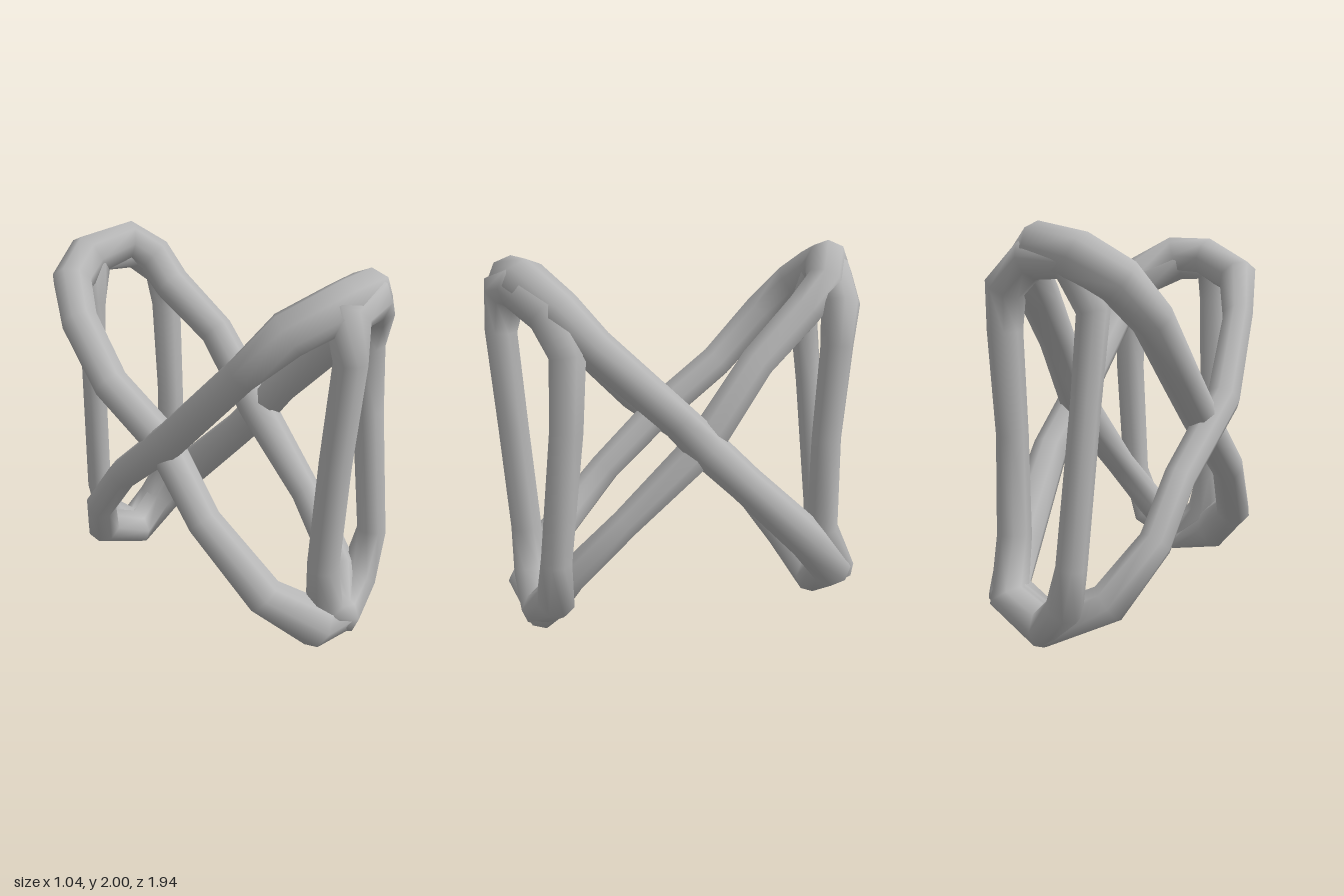
import * as THREE from 'three';

const SIDES = 8;
const BAR = 0.08;

// Sweeps a faceted bar round a closed loop of [x, y, z, radius] points.
function loopGeometry(path) {
  const n = path.length;
  const pts = path.map(([x, y, z]) => new THREE.Vector3(x, y, z));
  const centre = pts.reduce((c, p) => c.add(p), new THREE.Vector3()).divideScalar(n);

  // Average plane of the loop keeps the cross-sections from twisting.
  const plane = new THREE.Vector3();
  pts.forEach((p, i) => {
    const a = p.clone().sub(centre);
    const b = pts[(i + 1) % n].clone().sub(centre);
    plane.add(a.cross(b));
  });
  plane.normalize();

  const position = [];
  const index = [];
  pts.forEach((p, i) => {
    const before = p.clone().sub(pts[(i + n - 1) % n]).normalize();
    const after = pts[(i + 1) % n].clone().sub(p).normalize();
    const t = before.add(after).normalize();
    const u = plane.clone().addScaledVector(t, -plane.dot(t)).normalize();
    const v = t.clone().cross(u);
    const r = path[i][3] ?? BAR;
    for (let j = 0; j < SIDES; j++) {
      const a = (j / SIDES) * Math.PI * 2;
      const q = p.clone().addScaledVector(u, r * Math.cos(a)).addScaledVector(v, r * Math.sin(a));
      position.push(q.x, q.y, q.z);
      const k = (j + 1) % SIDES;
      const here = i * SIDES;
      const next = ((i + 1) % n) * SIDES;
      index.push(here + j, here + k, next + j, here + k, next + k, next + j);
    }
  });
  const g = new THREE.BufferGeometry();
  g.setAttribute('position', new THREE.Float32BufferAttribute(position, 3));
  g.setIndex(index);
  g.computeVertexNormals();
  return g;
}

const loops = {
  // Upright loop at the front
  frontLoop: [
    [-0.1, 1.8, 0.86, 0.11], [-0.1, 1.6, 0.89, 0.083], [-0.12, 1.1, 0.85, 0.081], [-0.12, 0.55, 0.81, 0.083],
    [-0.08, 0.32, 0.8, 0.1], [0.08, 0.18, 0.79, 0.11], [0.27, 0.3, 0.76, 0.1], [0.36, 0.55, 0.77, 0.078],
    [0.365, 1.2, 0.7, 0.082], [0.355, 1.55, 0.68, 0.09], [0.29, 1.74, 0.73, 0.115], [0.1, 1.84, 0.83, 0.115],
  ],
  // Upright loop at the back
  backLoop: [
    [-0.06, 1.82, -0.84, 0.1], [-0.14, 1.6, -0.79, 0.078], [-0.12, 1.2, -0.83, 0.07], [-0.07, 0.45, -0.89, 0.073],
    [-0.02, 0.24, -0.87, 0.09], [0.12, 0.12, -0.82, 0.105], [0.31, 0.24, -0.81, 0.1], [0.35, 0.5, -0.69, 0.085],
    [0.35, 1.0, -0.69, 0.078], [0.36, 1.5, -0.72, 0.085], [0.34, 1.7, -0.74, 0.1], [0.18, 1.83, -0.78, 0.1],
  ],
  // Slanted loop from the top front to the bottom back
  fallingLoop: [
    [-0.07, 1.85, 0.83, 0.115], [-0.31, 1.74, 0.7, 0.11], [-0.38, 1.53, 0.5, 0.085], [-0.44, 1.12, 0.1, 0.09],
    [-0.37, 0.78, -0.33, 0.083], [-0.34, 0.51, -0.56, 0.085], [-0.18, 0.25, -0.74, 0.1], [0.12, 0.11, -0.78, 0.11],
    [0.34, 0.25, -0.76, 0.11], [0.37, 0.45, -0.6, 0.11], [0.42, 0.84, -0.2, 0.095], [0.385, 1.04, 0, 0.1],
    [0.37, 1.2, 0.15, 0.09], [0.35, 1.58, 0.55, 0.095], [0.32, 1.75, 0.7, 0.105], [0.13, 1.86, 0.81, 0.115],
  ],
  // Slanted loop from the top back to the bottom front
  risingLoop: [
    [0.13, 1.89, -0.77, 0.11], [-0.1, 1.83, -0.85, 0.12], [-0.27, 1.73, -0.79, 0.11], [-0.36, 1.56, -0.64, 0.1],
    [-0.39, 1.28, -0.38, 0.095], [-0.36, 1.04, -0.03, 0.095], [-0.405, 0.72, 0.29, 0.088], [-0.33, 0.4, 0.62, 0.1],
    [-0.14, 0.23, 0.79, 0.125], [0.08, 0.17, 0.78, 0.11], [0.21, 0.37, 0.68, 0.088], [0.29, 0.67, 0.39, 0.08],
    [0.34, 1.04, 0, 0.1], [0.32, 1.43, -0.29, 0.092], [0.26, 1.66, -0.57, 0.1], [0.25, 1.8, -0.7, 0.105],
  ],
};

export function createModel() {
  const model = new THREE.Group();
  model.name = 'linkedLoops';
  const grey = new THREE.MeshStandardMaterial({ color: 0xb8b8b8 });
  grey.name = 'grey';
  for (const [name, path] of Object.entries(loops)) {
    const mesh = new THREE.Mesh(loopGeometry(path), grey);
    mesh.name = name;
    model.add(mesh);
  }
  return model;
}
